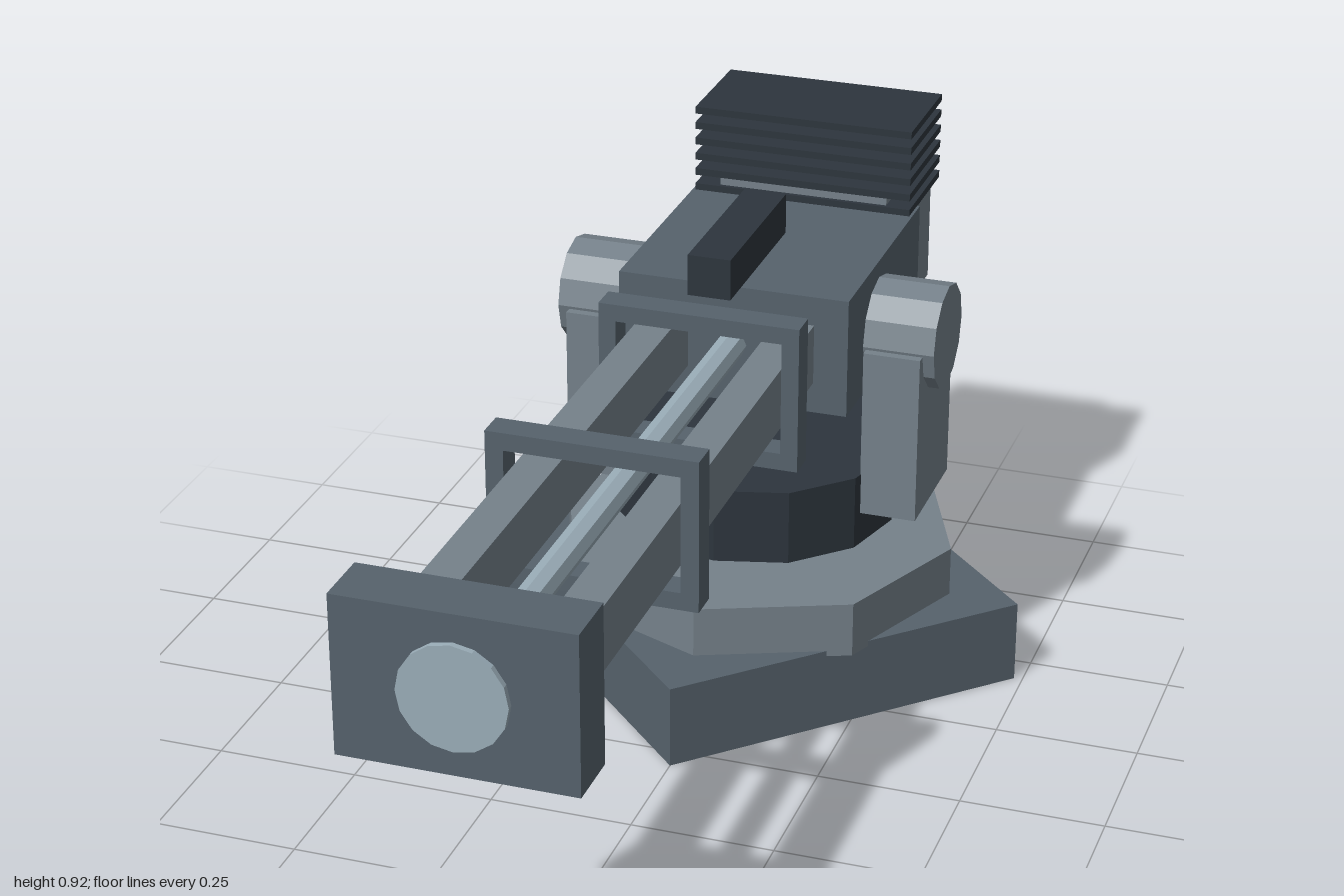
import * as THREE from 'three';

const mat = (color) => new THREE.MeshStandardMaterial({ color, flatShading: true });

export function createModel() {
  const group = new THREE.Group();
  const steel = mat(0x56626c), grey = mat(0x75818a), dark = mat(0x2d353d), pale = mat(0x9aadb8);
  const pivotZ = -0.437, axisY = 0.65;

  const add = (name, geometry, material, x, y, z) => {
    const mesh = new THREE.Mesh(geometry, material);
    mesh.name = name;
    mesh.position.set(x, y, z);
    group.add(mesh);
    return mesh;
  };
  // box from its ranges on x, y and z
  const box = (name, material, [x0, x1], [y0, y1], [z0, z1]) =>
    add(name, new THREE.BoxGeometry(x1 - x0, y1 - y0, z1 - z0), material,
      (x0 + x1) / 2, (y0 + y1) / 2, (z0 + z1) / 2);
  // upright prism around the turning axis
  const prism = (name, material, radius, sides, y0, y1) =>
    add(name, new THREE.CylinderGeometry(radius, radius, y1 - y0, sides), material, 0, (y0 + y1) / 2, pivotZ);
  // rod along z, centred on the barrel axis
  const rod = (name, material, radius, sides, z0, z1) => {
    const mesh = add(name, new THREE.CylinderGeometry(radius, radius, z1 - z0, sides), material, 0, axisY, (z0 + z1) / 2);
    mesh.rotation.x = Math.PI / 2;
  };
  // rectangular frame with an open middle
  const frame = (name, halfW, halfH, border, z0, z1) => {
    const rect = (Target, w, h) => new Target([
      new THREE.Vector2(-w, -h), new THREE.Vector2(w, -h), new THREE.Vector2(w, h), new THREE.Vector2(-w, h)]);
    const shape = rect(THREE.Shape, halfW, halfH);
    shape.holes.push(rect(THREE.Path, halfW - border, halfH - border));
    add(name, new THREE.ExtrudeGeometry(shape, { depth: z1 - z0, bevelEnabled: false }), steel, 0, axisY, z0);
  };

  // stand and turntable
  prism('basePlinth', steel, 0.485, 4, 0, 0.15);
  prism('baseRing', grey, 0.36, 8, 0.14, 0.24);
  prism('turntable', dark, 0.25, 12, 0.28, 0.415);

  // yoke arms with pivot drums
  for (const [side, s] of [['left', 1], ['right', -1]]) {
    box(side + 'YokeArm', grey, s > 0 ? [0.22, 0.32] : [-0.32, -0.22], [0.34, 0.645], [-0.545, -0.33]);
    const drum = add(side + 'PivotDrum', new THREE.CylinderGeometry(0.0925, 0.0925, 0.125, 12), grey,
      s * 0.2775, axisY, pivotZ);
    drum.rotation.z = Math.PI / 2;
  }

  // receiver, rear housing and sight
  box('receiver', steel, [-0.205, 0.205], [0.543, 0.757], [-0.735, -0.285]);
  box('rearHousing', grey, [-0.155, 0.155], [0.51, 0.787], [-1, -0.69]);
  box('sight', dark, [-0.0375, 0.0375], [0.79, 0.862], [-0.465, -0.155]);

  // stack of cooling fins
  for (let i = 0; i < 6; i++) {
    const y = 0.7625 + i * 0.0293;
    box('coolingFin', dark, [-0.2, 0.2], [y - 0.0065, y + 0.0065], [-0.885, -0.682]);
  }

  // twin rails and the thin barrel between them
  for (const x of [-0.1125, 0.1125]) {
    box('rail', grey, [x - 0.0325, x + 0.0325], [0.598, 0.705], [-0.29, 0.955]);
  }
  rod('barrel', pale, 0.025, 8, -0.29, 0.955);

  // collars around the rails
  frame('rearCollar', 0.175, 0.13, 0.03, -0.148, -0.098);
  frame('middleCollar', 0.175, 0.13, 0.03, 0.37, 0.42);

  // muzzle block, recessed at the back, with its lens
  frame('muzzleFrame', 0.19, 0.132, 0.03, 0.89, 0.95);
  box('muzzlePlate', steel, [-0.19, 0.19], [0.518, 0.782], [0.95, 0.99]);
  rod('lens', pale, 0.087, 16, 0.96, 1);

  return group;
}
